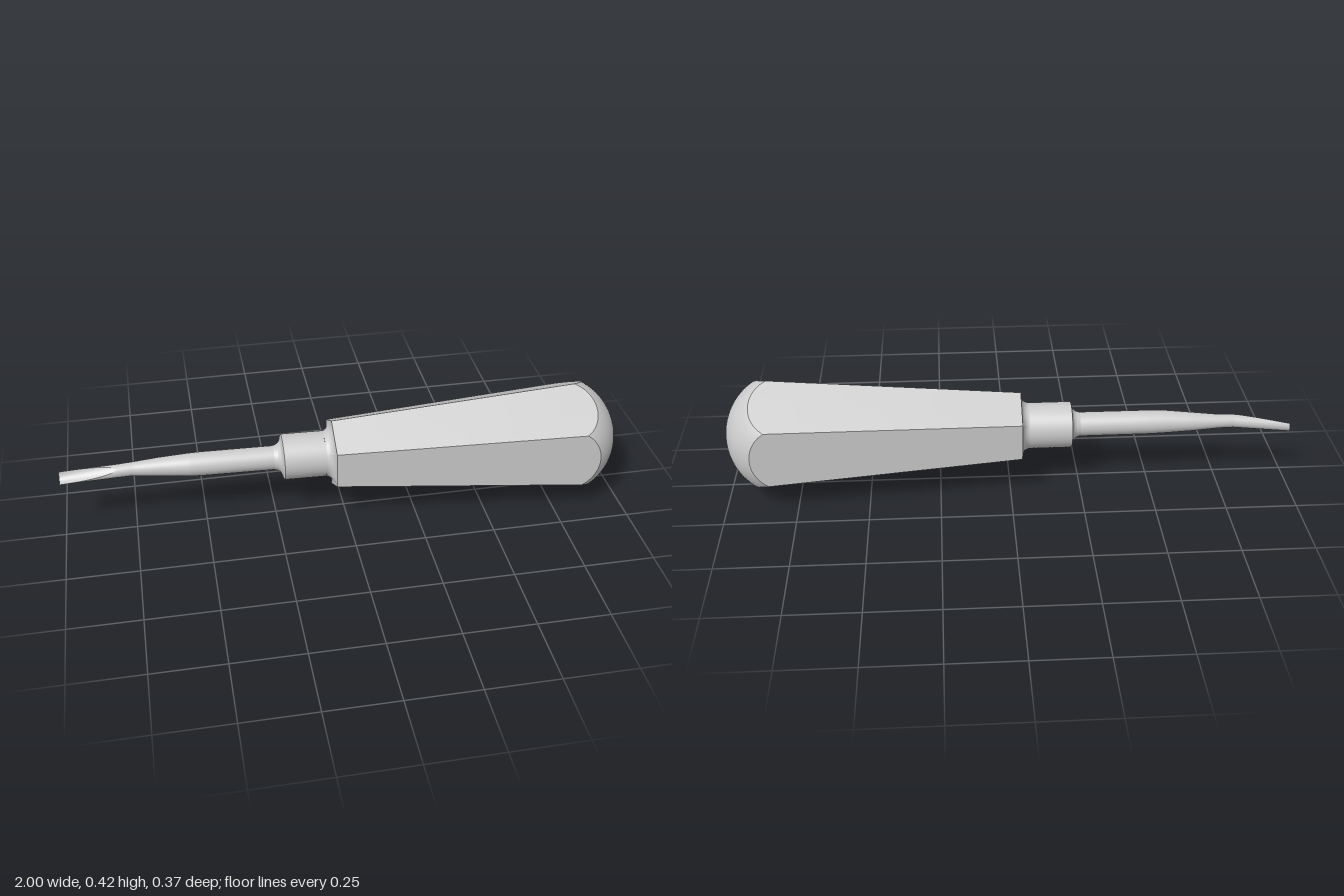
import * as THREE from 'three';
import { ParametricGeometry } from 'three/addons/geometries/ParametricGeometry.js';

const { lerp } = THREE.MathUtils;
const SIXTH = Math.PI / 3;

// The tool's long axis runs along x with a slight tilt
const axisY = x => 0.213 - 0.012 * (x - 0.85);
const axisZ = x => 0.018 * (x - 0.85);
const onAxis = (x, r, a, p) => p.set(x, axisY(x) + r * Math.cos(a), axisZ(x) + r * Math.sin(a));

// Handle: tapered hexagon trimmed by an ellipsoid dome
const START = -0.04, DOME = { x: 0.79, rx: 0.21, r: 0.218 };
const hexRadius = (x, phi) => (0.117 + (x - START) * 0.0747) / Math.cos(phi);
const domeRadius = x => DOME.r * Math.sqrt(Math.max(0, 1 - ((x - DOME.x) / DOME.rx) ** 2));
const sectorAngle = u => ((u * 6) % 1 - 0.5) * SIXTH;

// x at which a hexagon side meets the dome
function trimX(phi) {
  let lo = DOME.x, hi = 1;
  for (let i = 0; i < 40; i++) {
    const mid = (lo + hi) / 2;
    if (hexRadius(mid, phi) < domeRadius(mid)) lo = mid; else hi = mid;
  }
  return lo;
}

export function createModel() {
  const model = new THREE.Group();
  model.name = 'screwdriver';
  const material = new THREE.MeshStandardMaterial({ color: 0xcccccc });

  function add(parent, name, fn, nu, nv) {
    const mesh = new THREE.Mesh(new ParametricGeometry(fn, nu, nv), material);
    mesh.name = name;
    parent.add(mesh);
  }
  function group(name) {
    const g = new THREE.Group();
    g.name = name;
    model.add(g);
    return g;
  }
  // Round loft through stations [x, radius, y, z]; centre defaults to the axis
  function loft(parent, name, stations, nv) {
    const last = stations.length - 1;
    add(parent, name, (u, v, p) => {
      const i = Math.min(Math.floor(v * last), last - 1), t = v * last - i;
      const [a, b] = [stations[i], stations[i + 1]];
      const x = lerp(a[0], b[0], t), r = lerp(a[1], b[1], t), ang = u * Math.PI * 2;
      const cy = lerp(a[2] ?? axisY(a[0]), b[2] ?? axisY(b[0]), t);
      const cz = lerp(a[3] ?? axisZ(a[0]), b[3] ?? axisZ(b[0]), t);
      p.set(x, cy + r * Math.cos(ang), cz + r * Math.sin(ang));
    }, 40, nv ?? last);
  }

  // Handle sides and the concave shoulder that runs down to the collar
  const handle = group('handle');
  for (let k = 0; k < 6; k++) {
    add(handle, 'handleSide', (u, v, p) => {
      const phi = (u - 0.5) * SIXTH, x = lerp(START, trimX(phi), v);
      onAxis(x, hexRadius(x, phi), (k + u) * SIXTH, p);
    }, 16, 6);
    add(handle, 'handleShoulder', (u, v, p) => {
      const phi = (u - 0.5) * SIXTH, t = v * Math.PI / 2;
      const r = lerp(0.082, hexRadius(START, phi), 1 - Math.cos(t));
      onAxis(-0.07 + 0.03 * Math.sin(t), r, (k + u) * SIXTH, p);
    }, 10, 8);
  }
  // Rounded butt of the handle
  add(handle, 'handleDome', (u, v, p) => {
    const t0 = Math.acos((trimX(sectorAngle(u)) - DOME.x) / DOME.rx);
    const t = lerp(t0, 0.002, v);
    onAxis(DOME.x + DOME.rx * Math.cos(t), DOME.r * Math.sin(t), u * Math.PI * 2, p);
  }, 96, 20);

  // Collar with a filleted step down to the shaft
  const collar = group('collar');
  loft(collar, 'collarSide', [[-0.218, 0.082], [-0.07, 0.082]]);
  loft(collar, 'collarStep', [[-0.222, 0.066], [-0.218, 0.082]]);
  loft(collar, 'collarFillet', [[-0.25, 0.043], [-0.237, 0.047], [-0.227, 0.055], [-0.222, 0.066]], 9);

  // Shaft, straight and then tapering towards the tip
  const NECK = [-0.8, 0.0235, 0.229, -0.033], END = [-1, 0.023, 0.214, -0.046];
  const shaft = group('shaft');
  loft(shaft, 'shaftRod', [NECK, [-0.75, 0.0245, 0.23, -0.0345], [-0.65, 0.0335, 0.23, -0.031],
    [-0.55, 0.041], [-0.5, 0.0425], [-0.25, 0.043]], 20);

  // Gouge tip: round back, with a channel that deepens towards the end
  const tip = group('tip');
  const cut = v => Math.min(0.999, 1 - 1.1 * (1 - v)); // channel lip height, in radii
  const place = (v, along, across, p) => {
    const [x, r, y, z] = END.map((e, i) => lerp(e, NECK[i], v));
    const s = r * Math.SQRT1_2;
    return p.set(x, y + s * (along - across), z + s * (along + across));
  };
  const back = (u, v, p) => {
    const lip = Math.acos(cut(v)), a = lerp(lip, 2 * Math.PI - lip, u);
    return place(v, Math.cos(a), Math.sin(a), p);
  };
  const channel = (u, v, p) => {
    const c = cut(v), w = 2 * u - 1;
    return place(v, c - 0.45 * (1 - c) * (1 - w * w), w * Math.sqrt(1 - c * c), p);
  };
  const q = new THREE.Vector3();
  add(tip, 'tipBack', back, 32, 16);
  add(tip, 'tipChannel', channel, 16, 16);
  add(tip, 'tipEnd', (u, v, p) => channel(1 - u, 0, p).lerp(back(u, 0, q), v), 32, 1);

  return model;
}
